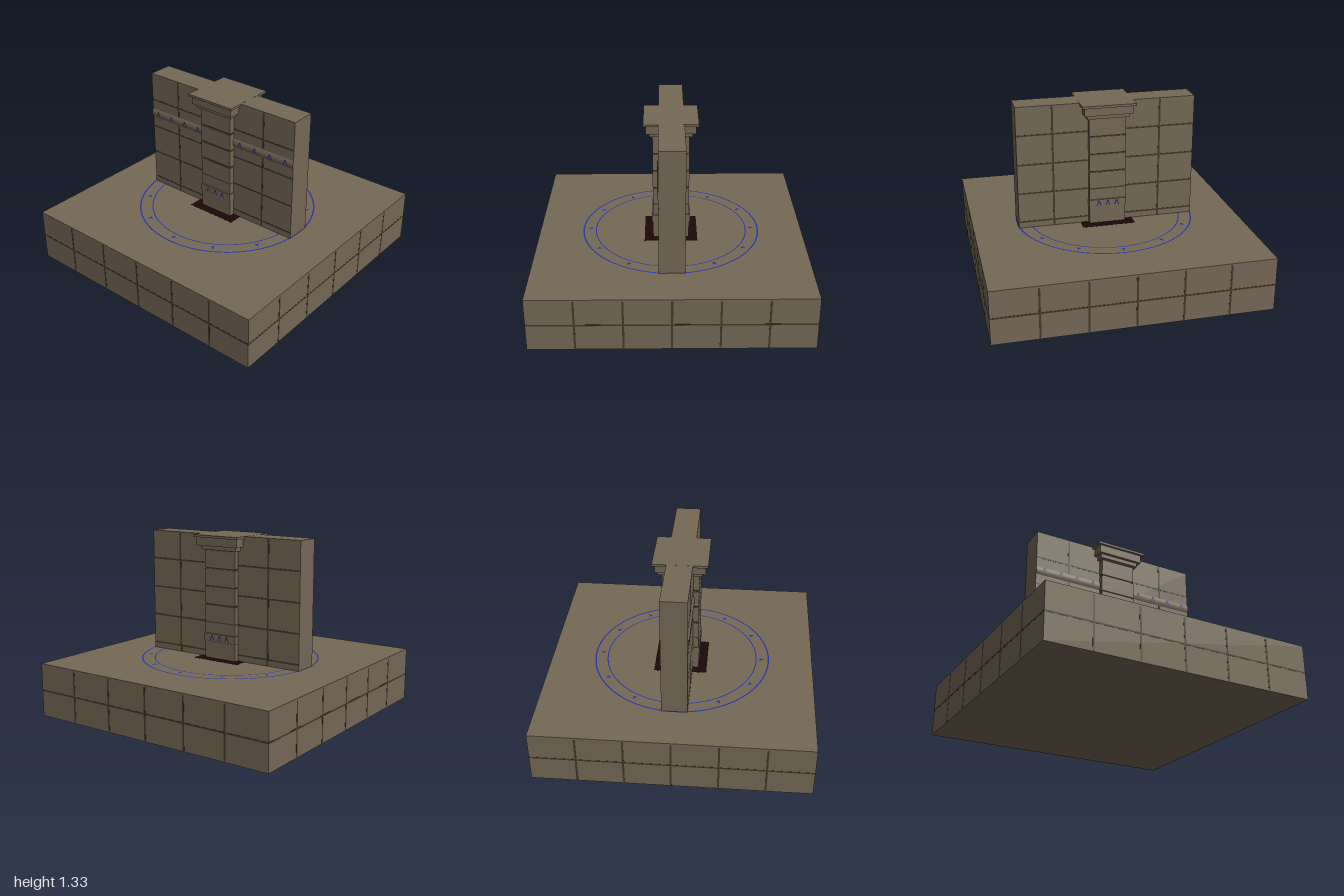
import * as THREE from 'three';

const stone = new THREE.MeshStandardMaterial({ color: 0x756855 });
stone.name = 'stone';
const mortar = new THREE.MeshStandardMaterial({ color: 0x423829 });
mortar.name = 'dark joint';
const blue = new THREE.MeshStandardMaterial({ color: 0x2433a8 });
blue.name = 'floor blue';
const deepBlue = new THREE.MeshStandardMaterial({ color: 0x1a2278 });
deepBlue.name = 'rune blue';
const pit = new THREE.MeshStandardMaterial({ color: 0x1c0707 });
pit.name = 'dark foot';

// Box given by its limits on each axis
function block(parent, name, mat, x0, x1, y0, y1, z0, z1) {
  const mesh = new THREE.Mesh(new THREE.BoxGeometry(x1 - x0, y1 - y0, z1 - z0), mat);
  mesh.position.set((x0 + x1) / 2, (y0 + y1) / 2, (z0 + z1) / 2);
  mesh.name = name;
  parent.add(mesh);
}

// Thin joint strip lying on a plane that faces +z
function joint(parent, x0, x1, y0, y1, z) {
  block(parent, 'joint', mortar, x0, x1, y0, y1, z - 0.001, z + 0.001);
}

// Caret-shaped rune on a plane that faces +z
const caretGeometry = new THREE.ShapeGeometry(new THREE.Shape([
  [-0.02, -0.02], [-0.012, -0.02], [0, 0.01], [0.012, -0.02], [0.02, -0.02], [0.004, 0.021], [-0.004, 0.021],
].map(([x, y]) => new THREE.Vector2(x, y))));

function caret(parent, x, y, z) {
  const mesh = new THREE.Mesh(caretGeometry, deepBlue);
  mesh.position.set(x, y, z);
  mesh.name = 'rune';
  parent.add(mesh);
}

function createPlinth() {
  const g = new THREE.Group();
  g.name = 'plinth';
  block(g, 'plinthBody', stone, -0.999, 0.999, 0, 0.4, -0.999, 0.999);
  // Masonry joints on the four sides
  for (let i = 0; i < 4; i++) {
    const side = new THREE.Group();
    side.name = 'plinthJoints';
    side.rotation.y = i * Math.PI / 2;
    joint(side, -0.999, 0.999, 0.191, 0.203, 0.999);
    for (let k = -2; k <= 2; k++) joint(side, k / 3 - 0.007, k / 3 + 0.007, 0.008, 0.386, 0.999);
    g.add(side);
  }
  return g;
}

function createFloorCircle() {
  const g = new THREE.Group();
  g.name = 'floorCircle';
  g.position.y = 0.4015;
  g.rotation.x = -Math.PI / 2;
  for (const [inner, outer] of [[0.661, 0.672], [0.569, 0.577]]) {
    const ring = new THREE.Mesh(new THREE.RingGeometry(inner, outer, 96), blue);
    ring.name = 'ring';
    g.add(ring);
  }
  // Arrowheads pointing outwards
  const arrow = new THREE.ShapeGeometry(new THREE.Shape([
    new THREE.Vector2(-0.016, 0.6), new THREE.Vector2(0.016, 0.6), new THREE.Vector2(0, 0.636),
  ]));
  for (let i = 0; i < 12; i++) {
    const mark = new THREE.Mesh(arrow, blue);
    mark.rotation.z = i * Math.PI / 6;
    mark.name = 'arrowhead';
    g.add(mark);
  }
  return g;
}

// Gently bulging band along x, its back on the plane z = 0
function createBandGeometry(length, height, bulge) {
  const shape = new THREE.Shape();
  const steps = 8;
  for (let i = 0; i <= steps; i++) {
    const t = i / steps * 2 - 1;
    const x = -bulge * (1 - t * t);
    if (i === 0) shape.moveTo(x, t * height / 2);
    else shape.lineTo(x, t * height / 2);
  }
  const geometry = new THREE.ExtrudeGeometry(shape, { depth: length, bevelEnabled: false });
  return geometry.rotateY(Math.PI / 2).translate(-length / 2, 0, 0);
}

function createWall() {
  const g = new THREE.Group();
  g.name = 'wall';
  block(g, 'wallBody', stone, -0.665, 0.665, 0.4, 1.333, -0.097, 0.091);
  // Joints on the front and back
  for (const [turn, z] of [[0, 0.091], [Math.PI, 0.097]]) {
    const face = new THREE.Group();
    face.name = 'wallJoints';
    face.rotation.y = turn;
    for (const y of [0.447, 0.672, 0.895, 1.118]) joint(face, -0.662, 0.662, y - 0.006, y + 0.006, z);
    for (const x of [-0.4, 0.4]) joint(face, x - 0.007, x + 0.007, 0.402, 1.328, z);
    g.add(face);
  }
  // Rune band on the front
  const bandGeometry = createBandGeometry(0.535, 0.068, 0.009);
  for (const s of [-1, 1]) {
    const band = new THREE.Mesh(bandGeometry, stone);
    band.name = 'runeBand';
    band.position.set(s * 0.3985, 1.008, 0.0915);
    g.add(band);
    for (const x of [0.2, 0.333, 0.467, 0.6]) caret(g, s * x, 1.01, 0.102);
  }
  return g;
}

function createPillar() {
  const g = new THREE.Group();
  g.name = 'pillar';
  block(g, 'footPatch', pit, -0.198, 0.198, 0.398, 0.4008, -0.198, 0.198);
  block(g, 'pillarCore', mortar, -0.128, 0.128, 0.4, 1.24, -0.126, 0.126);
  // Stacked stones
  for (const [y0, y1] of [[0.402, 0.53], [0.592, 0.677], [0.681, 0.808], [0.82, 0.946], [0.956, 1.081], [1.092, 1.218]]) {
    block(g, 'pillarStone', stone, -0.137, 0.137, y0, y1, -0.134, 0.134);
  }
  // Rune band with three marks on both faces
  block(g, 'pillarBand', stone, -0.14, 0.14, 0.533, 0.589, -0.141, 0.141);
  for (const turn of [0, Math.PI]) {
    const face = new THREE.Group();
    face.name = 'pillarRunes';
    face.rotation.y = turn;
    for (const x of [-0.067, 0, 0.067]) caret(face, x, 0.561, 0.143);
    g.add(face);
  }
  // Stepped capital
  for (const [half, y0, y1] of [[0.157, 1.224, 1.254], [0.18, 1.254, 1.316], [0.199, 1.316, 1.3335]]) {
    block(g, 'capitalStep', stone, -half, half, y0, y1, -half, half);
  }
  return g;
}

export function createModel() {
  const model = new THREE.Group();
  model.name = 'stoneMonument';
  model.add(createPlinth(), createFloorCircle(), createWall(), createPillar());
  return model;
}
